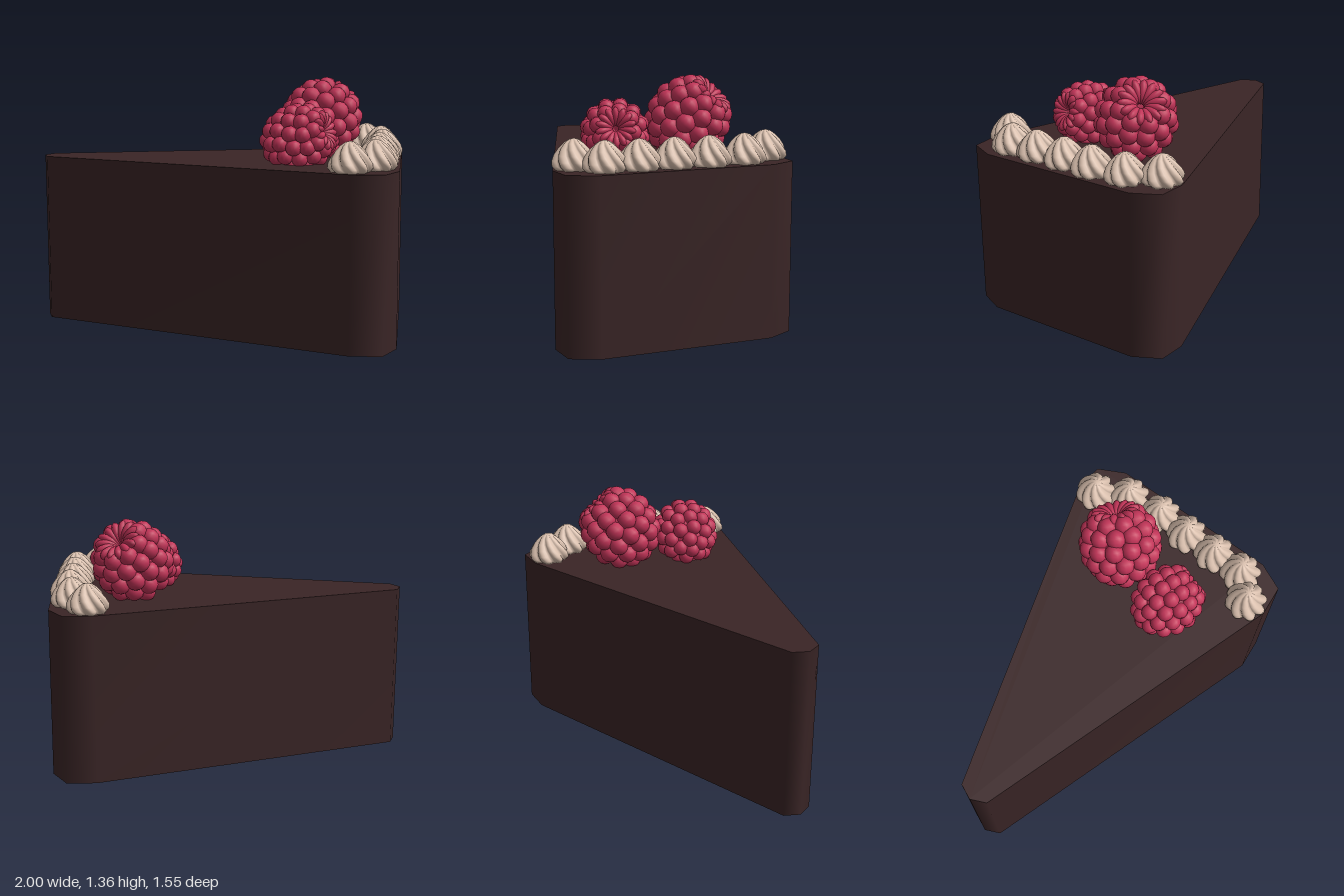
import * as THREE from 'three';
import { mergeGeometries, mergeVertices } from 'three/addons/utils/BufferGeometryUtils.js';

const chocolate = new THREE.MeshStandardMaterial({ color: 0x3a2526 });
const raspberry = new THREE.MeshStandardMaterial({ color: 0xc23458 });
const cream = new THREE.MeshStandardMaterial({ color: 0xdac0ae });
chocolate.name = 'chocolate';
raspberry.name = 'raspberry';
cream.name = 'cream';

const CAKE_HEIGHT = 0.925;

function named(geometry, material, name) {
  const mesh = new THREE.Mesh(geometry, material);
  mesh.name = name;
  return mesh;
}

// Weld seams and give smooth normals
function smooth(geometry) {
  geometry.deleteAttribute('uv');
  geometry.deleteAttribute('normal');
  const welded = mergeVertices(geometry, 1e-4);
  welded.computeVertexNormals();
  return welded;
}

// Wedge with cut corners: smooth wall, flat top and bottom
function makeCake() {
  const outline = [
    [-1, 0.63], [0.23, -0.705], [0.375, -0.778], [0.515, -0.688], [0.985, 0.133],
    [1, 0.297], [0.86, 0.395], [-0.915, 0.772], [-0.99, 0.718],
  ];
  const n = outline.length;
  const positions = [];
  const index = [];
  outline.forEach(([x, z], i) => {
    positions.push(x, 0, z, x, CAKE_HEIGHT, z);
    const a = 2 * i;
    const b = 2 * ((i + 1) % n);
    index.push(b, a, a + 1, b, a + 1, b + 1);
  });
  const wall = new THREE.BufferGeometry();
  wall.setAttribute('position', new THREE.Float32BufferAttribute(positions, 3));
  wall.setIndex(index);
  wall.computeVertexNormals();

  const face = (sign) => new THREE.ShapeGeometry(
    new THREE.Shape(outline.map(([x, z]) => new THREE.Vector2(x, sign * z))));
  const top = face(-1).rotateX(-Math.PI / 2).translate(0, CAKE_HEIGHT, 0);
  const bottom = face(1).rotateX(Math.PI / 2);

  const cake = new THREE.Group();
  cake.name = 'cakeSlice';
  cake.add(named(wall, chocolate, 'cakeWall'), named(top, chocolate, 'cakeTop'),
    named(bottom, chocolate, 'cakeBottom'));
  return cake;
}

// Piped dollop: a lathe with eight twisted ridges
function makeDollopGeometry() {
  const profile = [
    [0, 0], [0.1, 0], [0.116, 0.02], [0.114, 0.045], [0.1, 0.075],
    [0.078, 0.105], [0.052, 0.132], [0.026, 0.15], [0, 0.156],
  ].map(([r, y]) => new THREE.Vector2(r, y));
  const geometry = new THREE.LatheGeometry(profile, 64);
  const p = geometry.attributes.position;
  for (let i = 0; i < p.count; i++) {
    const x = p.getX(i), y = p.getY(i), z = p.getZ(i);
    const angle = Math.atan2(z, x);
    const ridge = 0.78 + 0.22 * Math.abs(Math.cos(4 * angle));
    const r = Math.hypot(x, z) * ridge;
    const twisted = angle + y * 6;
    p.setXYZ(i, r * Math.cos(twisted), y, r * Math.sin(twisted));
  }
  return smooth(geometry);
}

// Berry with its hollow facing +y: rings of beads over a hollow core
function makeBerryGeometry(radius, halfLength) {
  const bead = radius * 0.235;
  const R = radius - bead * 0.9;
  const L = halfLength - bead * 0.9;
  const parts = [];
  const matrix = new THREE.Matrix4();
  const turn = new THREE.Quaternion();
  const euler = new THREE.Euler();

  function ring(r, y, count, offset, size, tilt = 0) {
    for (let i = 0; i < count; i++) {
      const a = ((i + offset) / count) * Math.PI * 2;
      turn.setFromEuler(euler.set(0, -a, tilt, 'YXZ'));
      matrix.compose(new THREE.Vector3(r * Math.cos(a), y, r * Math.sin(a)), turn,
        new THREE.Vector3(...size));
      parts.push(new THREE.SphereGeometry(1, 12, 8).applyMatrix4(matrix));
    }
  }

  // Outer beads, from the tip up to the rim
  [-1.57, -1.13, -0.7, -0.29, 0.11, 0.5, 0.86].forEach((phi, k) => {
    const r = R * Math.cos(phi);
    const count = Math.max(1, Math.round((Math.PI * 2 * r) / (bead * 1.72)));
    ring(r, L * Math.sin(phi), count, (k % 2) / 2, [bead, bead, bead]);
  });
  // Long beads folding into the hollow
  ring(R * 0.42, L * 0.84, 14, 0.5, [bead * 1.25, bead * 0.75, bead * 0.52], 0.6);

  const core = [];
  for (let k = 0; k <= 12; k++) {
    const phi = -Math.PI / 2 + (k / 12) * 2.5;
    core.push(new THREE.Vector2(Math.max(0, R * Math.cos(phi)), L * Math.sin(phi)));
  }
  core.push(new THREE.Vector2(0, L * 0.4));
  parts.push(new THREE.LatheGeometry(core, 24));
  return mergeGeometries(parts);
}

function makeBerry(name, center, axis, radius, halfLength) {
  const berry = named(makeBerryGeometry(radius, halfLength), raspberry, name);
  berry.position.set(...center);
  berry.quaternion.setFromUnitVectors(new THREE.Vector3(0, 1, 0),
    new THREE.Vector3(...axis).normalize());
  return berry;
}

export function createModel() {
  const model = new THREE.Group();
  model.name = 'cakeWithBerries';
  model.add(makeCake());

  // Cream row along the outer edge
  const dollops = new THREE.Group();
  dollops.name = 'creamRow';
  const dollopGeometry = makeDollopGeometry();
  [
    [0.305, -0.63], [0.465, -0.53], [0.58, -0.36], [0.665, -0.19],
    [0.755, -0.025], [0.84, 0.135], [0.795, 0.3],
  ].forEach(([x, z], i) => {
    const dollop = named(dollopGeometry, cream, 'creamDollop');
    dollop.position.set(x, CAKE_HEIGHT, z);
    dollop.rotation.y = i * 0.9;
    dollops.add(dollop);
  });
  model.add(dollops);

  model.add(
    makeBerry('largeBerry', [0.265, 1.128, -0.215], [0.12, 0.72, -0.68], 0.225, 0.24),
    makeBerry('smallBerry', [0.38, 1.058, 0.165], [0.93, 0.28, -0.2], 0.185, 0.212),
  );
  return model;
}
